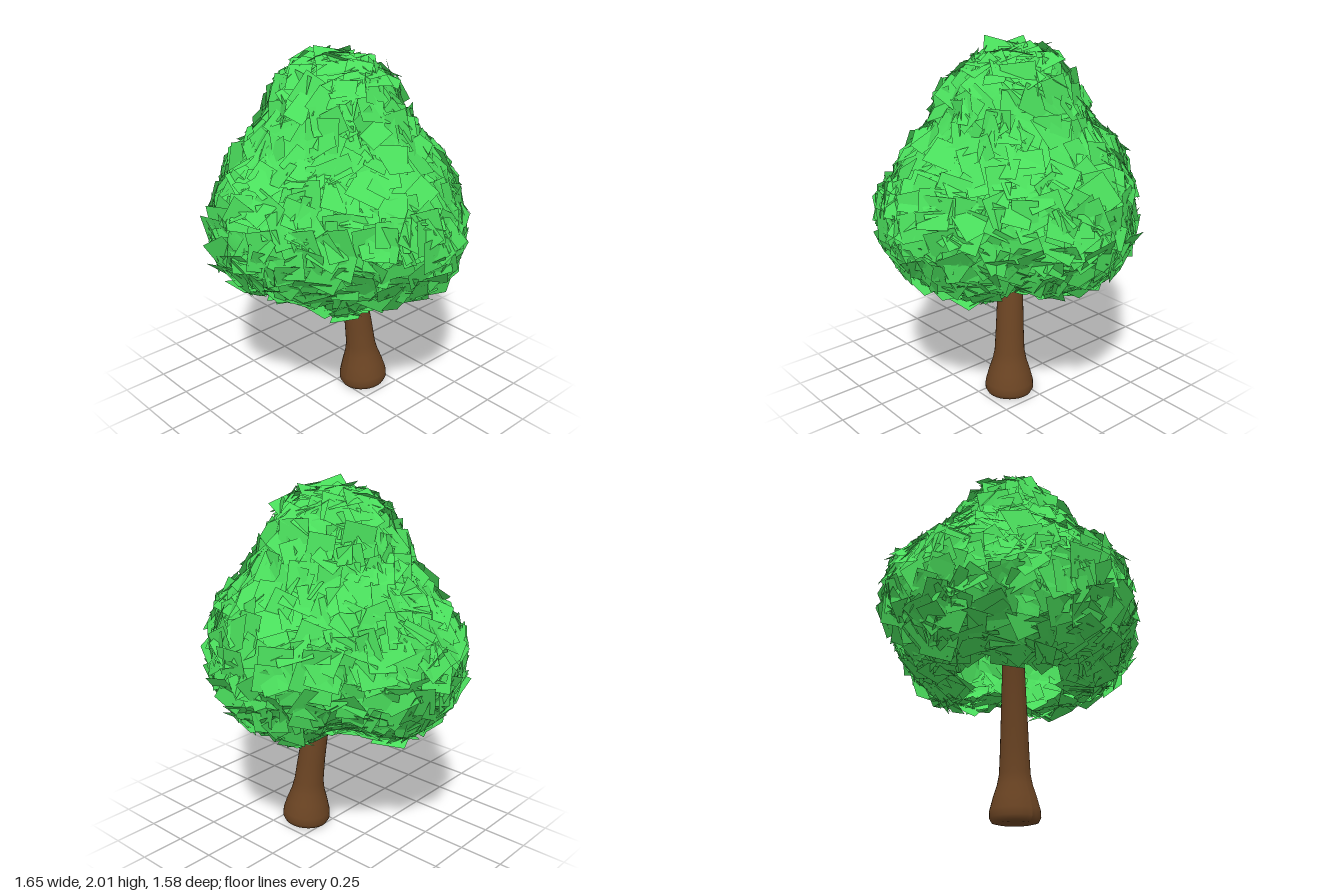
import * as THREE from 'three';
import { ParametricGeometry } from 'three/addons/geometries/ParametricGeometry.js';

const GREEN = 0x4ade5c, BROWN = 0x6b4423;
const vec2s = (pts) => pts.map(([x, y]) => new THREE.Vector2(x, y));
const { clamp } = THREE.MathUtils;

// Small seeded random generator
function seeded(seed) {
  return () => {
    seed = (seed * 1664525 + 1013904223) >>> 0;
    return seed / 4294967296;
  };
}

// Crown outline (radius, height) from the open lower rim to the tip
const crown = new THREE.SplineCurve(vec2s([
  [0.4, 0.74], [0.53, 0.77], [0.65, 0.86], [0.73, 0.97], [0.765, 1.09], [0.74, 1.24],
  [0.65, 1.37], [0.47, 1.53], [0.37, 1.67], [0.28, 1.83], [0.16, 1.915], [0, 1.945],
]));

// Point on the crown: four broad lobes low down that blend into a round top, and a wavy rim
function crownPoint(t, angle, target) {
  const p = crown.getPoint(t);
  const lobes = clamp((1.68 - p.y) / 0.4, 0, 1);
  const rim = clamp((1 - p.y) / 0.26, 0, 1);
  const r = Math.max(p.x, 0) * (1 - 0.145 * lobes * Math.sin(2 * angle) ** 2);
  const y = p.y + 0.035 * rim * Math.sin(5 * angle + 0.6);
  return target.set(r * Math.sin(angle) * 1.01, y, r * Math.cos(angle) * 0.95);
}

// Outward normal by small steps along and around the crown
function crownNormal(t, angle) {
  const at = (a, b) => crownPoint(a, b, new THREE.Vector3());
  const around = at(t, angle + 0.01).sub(at(t, angle - 0.01));
  const up = at(Math.min(t + 0.01, 1), angle).sub(at(Math.max(t - 0.01, 0), angle));
  return around.cross(up).normalize();
}

// Square leaf cards laid over the crown, each tipped and rolled a little
function leafGeometry(count) {
  const rand = seeded(7);
  const spread = (a) => (rand() * 2 - 1) * a;
  const positions = [];
  const leaf = new THREE.Object3D();
  const point = new THREE.Vector3();
  while (positions.length < count * 18) {
    const t = rand() * 0.99;
    const angle = rand() * Math.PI * 2;
    crownPoint(t, angle, point);
    if (rand() > Math.hypot(point.x, point.z) / 0.75 + 0.06) continue;
    const normal = crownNormal(t, angle);
    leaf.position.copy(point).addScaledVector(normal, spread(0.022));
    leaf.lookAt(normal.add(leaf.position));
    leaf.rotateX(spread(0.4));
    leaf.rotateY(spread(0.4));
    leaf.rotateZ(spread(0.6));
    leaf.updateMatrix();
    const w = 0.055 + rand() * 0.04, h = 0.055 + rand() * 0.04;
    const [a, b, c, d] = [[-w, -h], [w, -h], [w, h], [-w, h]].map(
      ([x, y]) => new THREE.Vector3(x, y, 0).applyMatrix4(leaf.matrix));
    for (const v of [a, b, c, a, c, d]) positions.push(v.x, v.y, v.z);
  }
  const geometry = new THREE.BufferGeometry();
  geometry.setAttribute('position', new THREE.Float32BufferAttribute(positions, 3));
  geometry.computeVertexNormals();
  return geometry;
}

// Turned trunk with a flared foot, leaning towards the crown's axis
function trunkGeometry() {
  const profile = vec2s([
    [0, 0.01], [0.1, 0.01], [0.125, 0.016], [0.138, 0.04], [0.136, 0.08], [0.117, 0.15], [0.097, 0.21],
    [0.085, 0.27], [0.079, 0.4], [0.074, 0.55], [0.068, 0.7], [0.063, 0.85], [0.055, 1.1], [0, 1.25],
  ]);
  const geometry = new THREE.LatheGeometry(profile, 28);
  const pos = geometry.attributes.position;
  for (let i = 0; i < pos.count; i++) {
    const x = pos.getX(i), y = pos.getY(i), z = pos.getZ(i);
    const lean = 0.112 - 0.03 * y - 0.075 * y * y;
    const tilt = (x - z) * 0.055 * Math.max(0, 1 - y);
    pos.setXYZ(i, x + lean, Math.max(0, y + tilt), z - lean);
  }
  geometry.computeVertexNormals();
  return geometry;
}

export function createModel() {
  const tree = new THREE.Group();
  tree.name = 'tree';
  const add = (name, geometry, options) => {
    const mesh = new THREE.Mesh(geometry, new THREE.MeshStandardMaterial(options));
    mesh.name = name;
    tree.add(mesh);
  };

  add('trunk', trunkGeometry(), { color: BROWN });

  // Hollow crown just beneath the leaves, open around the trunk
  const shell = new ParametricGeometry(
    (u, v, target) => crownPoint(v, u * Math.PI * 2, target), 40, 26);
  shell.computeVertexNormals();
  add('crownShell', shell, { color: GREEN, side: THREE.DoubleSide });

  add('leaves', leafGeometry(1500), { color: GREEN, flatShading: true, side: THREE.DoubleSide });
  return tree;
}
